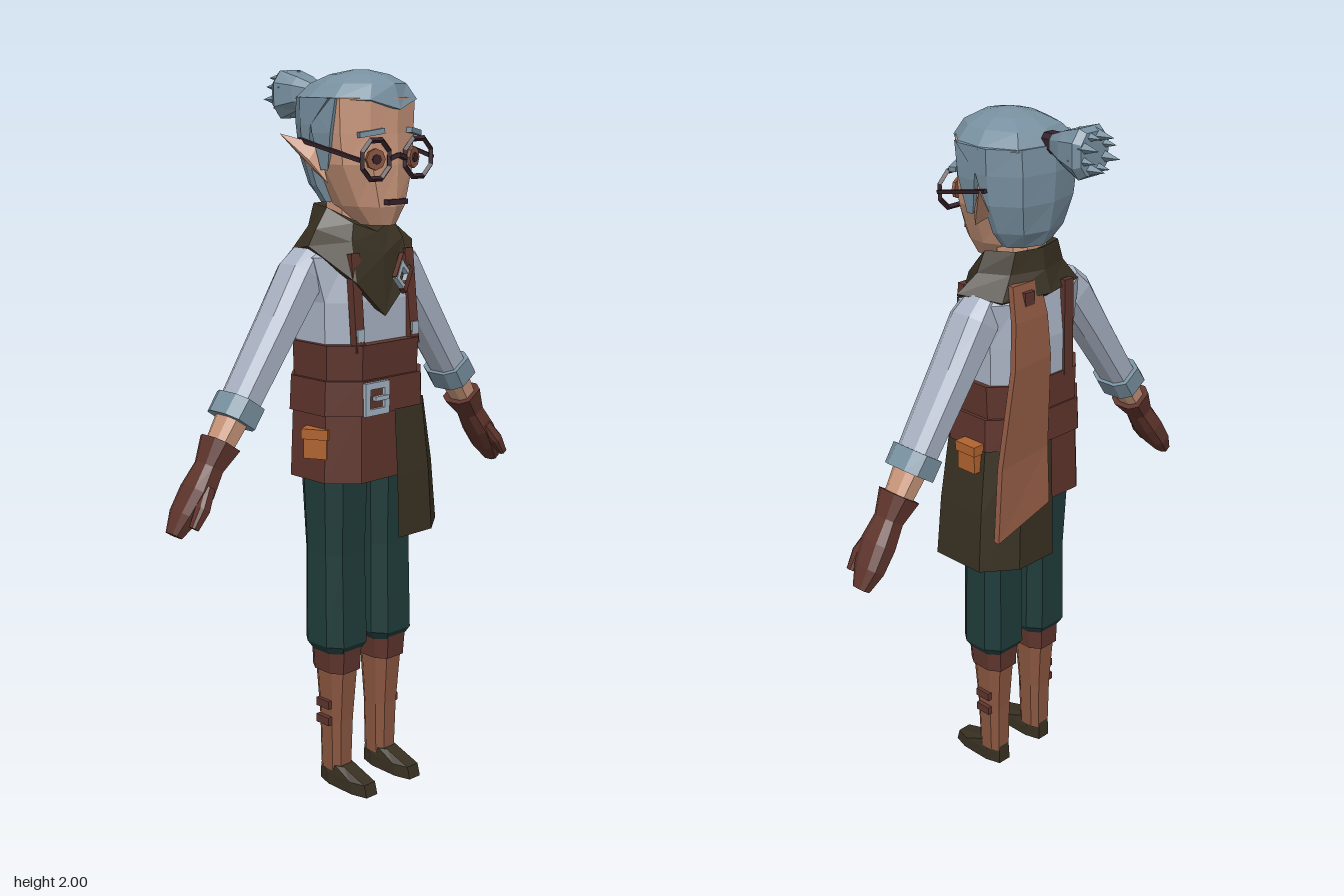
import * as THREE from 'three';
import { ConvexGeometry } from 'three/addons/geometries/ConvexGeometry.js';

const mat = (name, color, extra = {}) =>
  Object.assign(new THREE.MeshStandardMaterial({ color }), { name, ...extra });

export function createModel() {
  const M = {
    skin: mat('skin', 0xc8957a),
    hair: mat('greyBlueHair', 0x7890a0),
    shirt: mat('paleShirt', 0xa9b2c3),
    brown: mat('darkBrownLeather', 0x5e342c),
    leather: mat('tanLeather', 0x8a5640),
    olive: mat('darkOliveCloth', 0x383022, { side: THREE.DoubleSide }),
    green: mat('darkGreenCloth', 0x1f3c3a),
    frame: mat('darkFrames', 0x35212a),
    orange: mat('orangeLeather', 0xb0632f),
    metal: mat('paleMetal', 0xa3b4c2),
  };
  const model = new THREE.Group();
  model.name = 'figure';

  const add = (name, geo, material, parent = model) => {
    const g = geo.index ? geo.toNonIndexed() : geo;
    g.computeVertexNormals();
    const m = new THREE.Mesh(g, material);
    m.name = name;
    parent.add(m);
    return m;
  };
  const box = (name, w, h, d, x, y, z, material, parent) => {
    const m = add(name, new THREE.BoxGeometry(w, h, d), material, parent);
    m.position.set(x, y, z);
    return m;
  };
  // square rod between two points
  const bar = (name, a, b, w, d, material) => {
    const A = new THREE.Vector3(...a), B = new THREE.Vector3(...b);
    const m = add(name, new THREE.BoxGeometry(w, A.distanceTo(B), d), material);
    m.position.copy(A).lerp(B, 0.5);
    m.quaternion.setFromUnitVectors(new THREE.Vector3(0, 1, 0), B.sub(A).normalize());
    return m;
  };
  // skin over rings listed bottom to top, each counter-clockwise from above
  const loft = (rings, closed = true) => {
    const p = [], n = rings[0].length;
    const tri = (a, b, c) => p.push(...a, ...b, ...c);
    for (let k = 0; k < rings.length - 1; k++)
      for (let i = 0; i < (closed ? n : n - 1); i++) {
        const j = (i + 1) % n, lo = rings[k], hi = rings[k + 1];
        tri(lo[i], lo[j], hi[j]);
        tri(lo[i], hi[j], hi[i]);
      }
    if (closed)
      for (let i = 1; i < n - 1; i++) {
        const lo = rings[0], hi = rings[rings.length - 1];
        tri(lo[0], lo[i + 1], lo[i]);
        tri(hi[0], hi[i], hi[i + 1]);
      }
    return new THREE.BufferGeometry().setAttribute('position', new THREE.Float32BufferAttribute(p, 3));
  };
  // chamfered rectangle section: height, half width, front z, back z, centre x
  const OCT = [[0.6, 1], [1, 0.5], [1, -0.5], [0.6, -1], [-0.6, -1], [-1, -0.5], [-1, 0.5], [-0.6, 1]];
  const oct = ([y, w, f, b, cx = 0]) =>
    OCT.map(([u, v]) => [cx + u * w, y, (f + b) / 2 + v * (f - b) / 2]);
  const body = (name, sections, material, parent) => add(name, loft(sections.map(oct)), material, parent);
  // head section with a slightly pointed front
  const HEAD = [[0, 1], [0.55, 0.92], [0.93, 0.68], [1, 0.4], [0.7, 0.08], [0, 0], [-0.7, 0.08], [-1, 0.4], [-0.93, 0.68], [-0.55, 0.92]];
  const headRing = ([y, w, f, b]) => HEAD.map(([u, v]) => [u * w, y, b + v * (f - b)]);
  // rectangular buckle outline
  const buckle = (name, w, h, t, x, y, z, material) => {
    const s = new THREE.Shape(), hole = new THREE.Path();
    const rect = (path, a, b) =>
      path.moveTo(-a, -b).lineTo(a, -b).lineTo(a, b).lineTo(-a, b).closePath();
    rect(s, w / 2, h / 2);
    rect(hole, w / 2 - t, h / 2 - t);
    s.holes.push(hole);
    const m = add(name, new THREE.ExtrudeGeometry(s, { depth: 0.014, bevelEnabled: false }), material);
    m.position.set(x, y, z);
    return m;
  };

  // head and neck
  body('neck', [[1.48, 0.06, 0.12, 0], [1.68, 0.06, 0.12, 0]], M.skin);
  add('face', loft([[1.6, 0.045, 0.215, 0.11], [1.65, 0.085, 0.235, 0.04], [1.76, 0.136, 0.24, 0],
    [1.84, 0.144, 0.236, 0], [1.93, 0.147, 0.238, 0]].map(headRing)), M.skin);
  box('mouth', 0.07, 0.014, 0.02, 0, 1.663, 0.232, M.frame);

  // hair cap with a small peak, back hair, ponytail
  const cap = [[1.925, 0.156, 0.247, -0.066], [1.965, 0.115, 0.225, -0.03], [1.988, 0.07, 0.18, 0.02],
    [2, 0.02, 0.12, 0.08]].map(headRing);
  cap[0][0][1] = 1.9;
  add('hairCap', loft(cap), M.hair);
  const backRing = ([y, w, f, b]) => [[w, y, f], [w, y, 0.03], [0.65 * w, y, b + 0.02], [0, y, b],
    [-0.65 * w, y, b + 0.02], [-w, y, 0.03], [-w, y, f]];
  add('backHair', loft([[1.655, 0.08, 0.05, -0.02], [1.7, 0.115, 0.05, -0.045], [1.78, 0.145, 0.05, -0.062],
    [1.86, 0.154, 0.07, -0.068], [1.93, 0.156, 0.14, -0.065]].map(backRing)), M.hair);
  const tail = new THREE.Group();
  tail.name = 'ponytail';
  tail.position.set(0, 1.935, -0.05);
  tail.rotation.x = -Math.PI / 2;
  model.add(tail);
  body('hairTie', [[-0.01, 0.026, 0.026, -0.026], [0.02, 0.026, 0.026, -0.026]], M.frame, tail);
  body('tailHair', [[0.01, 0.022, 0.022, -0.022], [0.07, 0.05, 0.045, -0.045], [0.13, 0.062, 0.062, -0.068],
    [0.15, 0.05, 0.052, -0.056]], M.hair, tail);
  for (let i = 0; i < 8; i++) {
    const a = (i + 0.5) * Math.PI / 4, tip = add('tailTip', new THREE.ConeGeometry(0.022, 0.075, 4), M.hair, tail);
    tip.position.set(Math.sin(a) * 0.042, 0.15 + (i % 2) * 0.012, Math.cos(a) * 0.044);
  }

  // shirt, belts, skirt of the vest
  body('shirtTorso', [[1.2, 0.162, 0.19, -0.04], [1.4, 0.162, 0.19, -0.042], [1.52, 0.185, 0.16, -0.03],
    [1.57, 0.1, 0.13, -0.01]], M.shirt);
  body('upperBelt', [[1.19, 0.172, 0.215, -0.045], [1.29, 0.176, 0.22, -0.047]], M.brown);
  body('lowerBelt', [[1.1, 0.186, 0.227, -0.053], [1.195, 0.182, 0.225, -0.05]], M.brown);
  body('vestSkirt', [[0.915, 0.184, 0.222, -0.05], [1.12, 0.176, 0.215, -0.045]], M.brown);
  buckle('beltBuckle', 0.09, 0.09, 0.018, -0.065, 1.145, 0.222, M.metal);
  box('buckleProng', 0.05, 0.012, 0.012, -0.05, 1.145, 0.233, M.metal);

  // apron wrapping the left half
  const apronRing = ([y, w, f, b]) => [[0.005, y, f], [0.6 * w, y, f], [w, y, f - 0.07], [w, y, b + 0.07],
    [0.6 * w, y, b], [0, y, b]];
  add('sideApron', loft([[0.745, 0.226, 0.25, -0.063], [0.92, 0.212, 0.243, -0.06],
    [1.105, 0.189, 0.23, -0.056]].map(apronRing), false), M.olive);

  // scarf with a drooping front point
  add('scarf', loft([
    [[-0.02, 1.36, 0.217], [0.1, 1.46, 0.2], [0.2, 1.54, 0.1], [0.15, 1.53, -0.02], [0, 1.53, -0.052],
      [-0.14, 1.53, -0.02], [-0.19, 1.55, 0.1], [-0.11, 1.455, 0.2]],
    [[0, 1.52, 0.19], [0.09, 1.56, 0.17], [0.145, 1.59, 0.08], [0.1, 1.59, 0], [0, 1.59, -0.03],
      [-0.1, 1.59, 0], [-0.145, 1.59, 0.08], [-0.1, 1.56, 0.17]],
    [[0, 1.58, 0.165], [0.07, 1.605, 0.145], [0.115, 1.645, 0.08], [0.08, 1.65, 0], [0, 1.65, -0.022],
      [-0.08, 1.65, 0], [-0.105, 1.645, 0.08], [-0.07, 1.605, 0.145]],
  ]), M.olive);
  const pin = buckle('scarfBuckle', 0.055, 0.065, 0.013, 0.045, 1.46, 0.205, M.metal);
  pin.rotation.set(-0.2, 0.3, -0.75);
  for (const k of [-1, 1]) {
    const strap = box('scarfStrap', 0.085, 0.018, 0.014, 0.055 + k * 0.014, 1.468 - k * 0.018, 0.207, M.brown);
    strap.rotation.set(-0.2, 0.3, 0.8);
  }

  // long ribbon trailing down the back: left x, left y, right x, right y, z
  add('backRibbon', loft([[0.09, 0.97, 0.285, 0.912, -0.125], [0.06, 1.12, 0.235, 1.1, -0.09],
    [0.03, 1.37, 0.165, 1.36, -0.072], [0.02, 1.48, 0.14, 1.48, -0.05], [0.02, 1.57, 0.12, 1.57, -0.02]]
    .map(([xl, yl, xr, yr, z]) => [[xl, yl, z + 0.009], [xr, yr, z + 0.009], [xr, yr, z - 0.009], [xl, yl, z - 0.009]])),
  M.leather);

  // belt pouches
  for (const [x, y, z, r] of [[-0.178, 1.025, 0.12, 0.5], [0.195, 1.085, 0.06, 0]]) {
    const pouch = new THREE.Group();
    pouch.name = 'pouch';
    pouch.position.set(x, y, z);
    pouch.rotation.y = r;
    model.add(pouch);
    box('pouchBody', 0.045, 0.07, 0.065, 0, -0.008, 0, M.orange, pouch);
    box('pouchFlap', 0.054, 0.028, 0.074, 0, 0.025, 0, M.orange, pouch);
  }

  for (const s of [1, -1]) {
    // ear, sideburn, eye, brow
    add('ear', new ConvexGeometry([[0.13, 1.81, 0.075], [0.125, 1.71, 0.105], [0.204, 1.838, 0.005], [0.13, 1.75, 0.04],
      [0.16, 1.77, 0.07]].map(([x, y, z]) => new THREE.Vector3(s * x, y, z))), M.skin);
    add('sideburn', new ConvexGeometry([[0.155, 1.93, 0.06], [0.146, 1.93, 0.155], [0.11, 1.93, 0.15], [0.154, 1.84, 0.075],
      [0.15, 1.84, 0.14], [0.141, 1.745, 0.095], [0.139, 1.745, 0.12], [0.11, 1.8, 0.09]]
      .map(([x, y, z]) => new THREE.Vector3(s * x, y, z))), M.hair);
    [['eye', 0.028, 0.226, M.leather], ['pupil', 0.013, 0.23, M.frame]].forEach(([name, r, z, m]) => {
      const disc = add(name, new THREE.CylinderGeometry(r, r, 0.009, 8).rotateX(Math.PI / 2), m);
      disc.position.set(s * 0.07, 1.775, z);
      disc.rotation.y = s * 0.3;
    });
    const brow = box('eyebrow', 0.07, 0.014, 0.02, s * 0.078, 1.842, 0.218, M.hair);
    brow.rotation.set(0, s * 0.4, s * -0.15);

    // spectacles
    const rim = add('spectacleRim', new THREE.TorusGeometry(0.053, 0.008, 4, 8), M.frame);
    rim.position.set(s * 0.078, 1.775, 0.236);
    rim.rotation.z = Math.PI / 8;
    bar('spectacleTemple', [s * 0.133, 1.775, 0.236], [s * 0.158, 1.822, 0.03], 0.01, 0.01, M.frame);
    bar('spectacleBridge', [0, 1.785, 0.243], [s * 0.03, 1.775, 0.238], 0.012, 0.01, M.frame);

    // braces with clips
    bar('frontBrace', [s * 0.103, 1.27, 0.192], [s * 0.1, 1.53, 0.166], 0.032, 0.022, M.brown)
      .position.z += 0.008;
    box('braceClip', 0.026, 0.034, 0.014, s * 0.103, 1.315, 0.204, M.metal);
    box('backBrace', 0.034, 0.28, 0.016, s * 0.075, 1.41, -0.04, M.brown);

    // arm hanging outward
    const arm = new THREE.Group();
    arm.name = s > 0 ? 'leftArm' : 'rightArm';
    arm.position.set(s * 0.18, 1.47, 0.058);
    arm.rotation.z = s * 0.602;
    model.add(arm);
    const limb = (name, list, m) => body(name, list.map(([y, w, d, z = 0]) => [y, w, z + d, z - d]), m, arm);
    limb('sleeve', [[-0.4, 0.042, 0.052], [-0.15, 0.048, 0.058], [0, 0.056, 0.06], [0.06, 0.04, 0.05]], M.shirt);
    limb('rolledCuff', [[-0.435, 0.054, 0.064], [-0.375, 0.052, 0.066]], M.hair);
    limb('wrist', [[-0.52, 0.03, 0.036], [-0.4, 0.036, 0.046]], M.skin);
    limb('glove', [[-0.768, 0.016, 0.024, -0.008], [-0.71, 0.028, 0.042, -0.006], [-0.64, 0.033, 0.048],
      [-0.57, 0.031, 0.038], [-0.5, 0.046, 0.053]], M.brown);
    limb('thumb', [[-0.735, 0.012, 0.012, 0.052], [-0.68, 0.018, 0.018, 0.05], [-0.62, 0.016, 0.02, 0.03]], M.brown);

    // leg, boot and shoe
    const x = s * 0.087;
    const leg = (name, list, m) => body(name, list.map((r) => [...r, x]), m);
    leg('trouserLeg', [[0.41, 0.058, 0.16, 0.035], [0.435, 0.074, 0.175, 0.02], [0.7, 0.071, 0.167, 0.02],
      [1, 0.077, 0.175, 0]], M.green);
    leg('bootBand', [[0.35, 0.053, 0.16, 0.035], [0.42, 0.056, 0.165, 0.033]], M.brown);
    leg('boot', [[0.045, 0.034, 0.138, 0.058], [0.2, 0.038, 0.142, 0.055], [0.37, 0.046, 0.155, 0.042]], M.leather);
    leg('shoe', [[0, 0.035, 0.245, 0.056], [0.035, 0.035, 0.235, 0.056], [0.062, 0.031, 0.15, 0.058]], M.olive);
    for (const y of [0.2, 0.25]) {
      box('bootStrap', 0.014, 0.024, 0.05, s * 0.132, y, 0.095, M.brown);
    }
  }
  return model;
}
